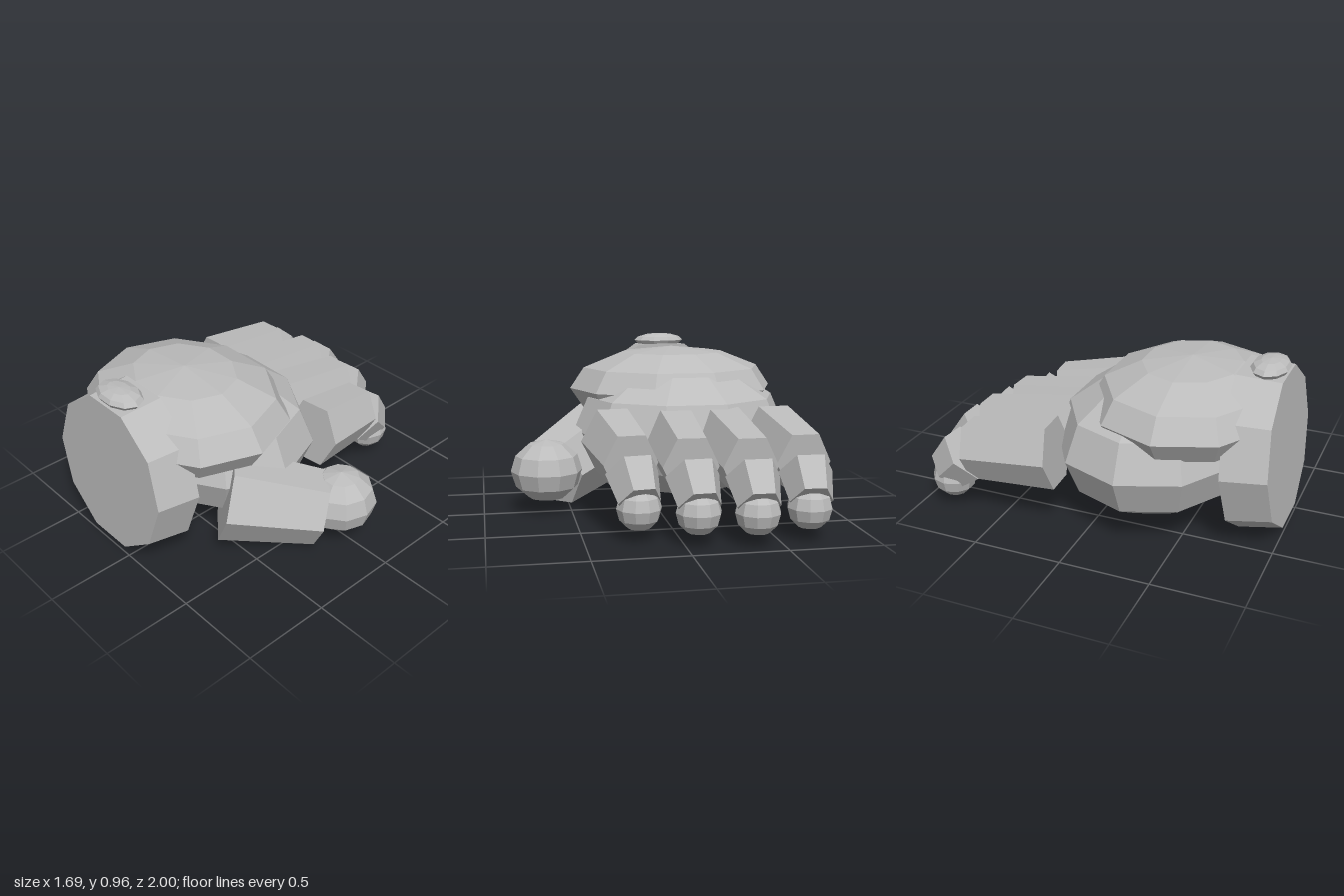
import * as THREE from 'three';

export function createModel() {
  const hand = new THREE.Group();
  hand.name = 'glovedHand';
  const grey = new THREE.MeshStandardMaterial({ color: 0xbcbcbc, flatShading: true });
  grey.name = 'lightGrey';

  // Low-poly ellipsoid with its poles along y
  function ball(name, pos, size, parent = hand) {
    const geo = new THREE.SphereGeometry(1, 10, 6).scale(...size);
    const mesh = new THREE.Mesh(geo, grey);
    mesh.name = name;
    mesh.position.set(...pos);
    parent.add(mesh);
  }

  // Tapered prism between two points, with a flat side facing up
  function prism(name, from, to, r0, r1, sides, tall = 1, parent = hand) {
    const a = new THREE.Vector3(...from), b = new THREE.Vector3(...to);
    const geo = new THREE.CylinderGeometry(r1, r0, a.distanceTo(b), sides, 1, false, Math.PI / sides);
    geo.rotateX(Math.PI / 2).scale(1, tall, 1);
    const mesh = new THREE.Mesh(geo, grey);
    mesh.name = name;
    mesh.position.copy(a).add(b).multiplyScalar(0.5);
    mesh.lookAt(b);
    parent.add(mesh);
  }

  // Wrist with its button
  prism('wrist', [-0.167, 0.457, 0.73], [-0.167, 0.473, 0.975], 0.475, 0.445, 10);
  ball('wristButton', [-0.17, 0.925, 0.85], [0.16, 0.045, 0.105]);

  // Palm and the padded back of the hand
  ball('palm', [-0.195, 0.435, 0.24], [0.655, 0.4, 0.555]);
  ball('backPad', [-0.17, 0.67, 0.42], [0.63, 0.25, 0.54]);

  // Thumb
  const thumb = new THREE.Group();
  thumb.name = 'thumb';
  hand.add(thumb);
  prism('thumbBase', [0.26, 0.33, 0.51], [0.595, 0.215, 0.11], 0.25, 0.205, 6, 1.05, thumb);
  ball('thumbTip', [0.64, 0.25, 0], [0.205, 0.18, 0.205], thumb);

  // Fingers: base x, base z, knuckle x, tip x, and reach beyond the shortest one
  const fingers = [
    [-0.645, -0.18, -0.67, -0.66, 0.13],
    [-0.355, -0.15, -0.365, -0.365, 0.19],
    [-0.075, -0.15, -0.06, -0.07, 0.135],
    [0.28, -0.13, 0.235, 0.215, 0]
  ];
  fingers.forEach(([bx, bz, kx, tx, reach], i) => {
    const finger = new THREE.Group();
    finger.name = 'finger' + (i + 1);
    hand.add(finger);
    prism('fingerBase', [bx, 0.44, bz], [kx, 0.385, -0.555 - reach], 0.175, 0.15, 6, 1.18, finger);
    prism('fingerEnd', [kx, 0.345, -0.58 - reach], [tx, 0.215, -0.715 - reach], 0.145, 0.115, 6, 1.18, finger);
    ball('fingerTip', [tx, 0.18, -0.69 - reach], [0.12, 0.12, 0.125], finger);
  });

  return hand;
}
